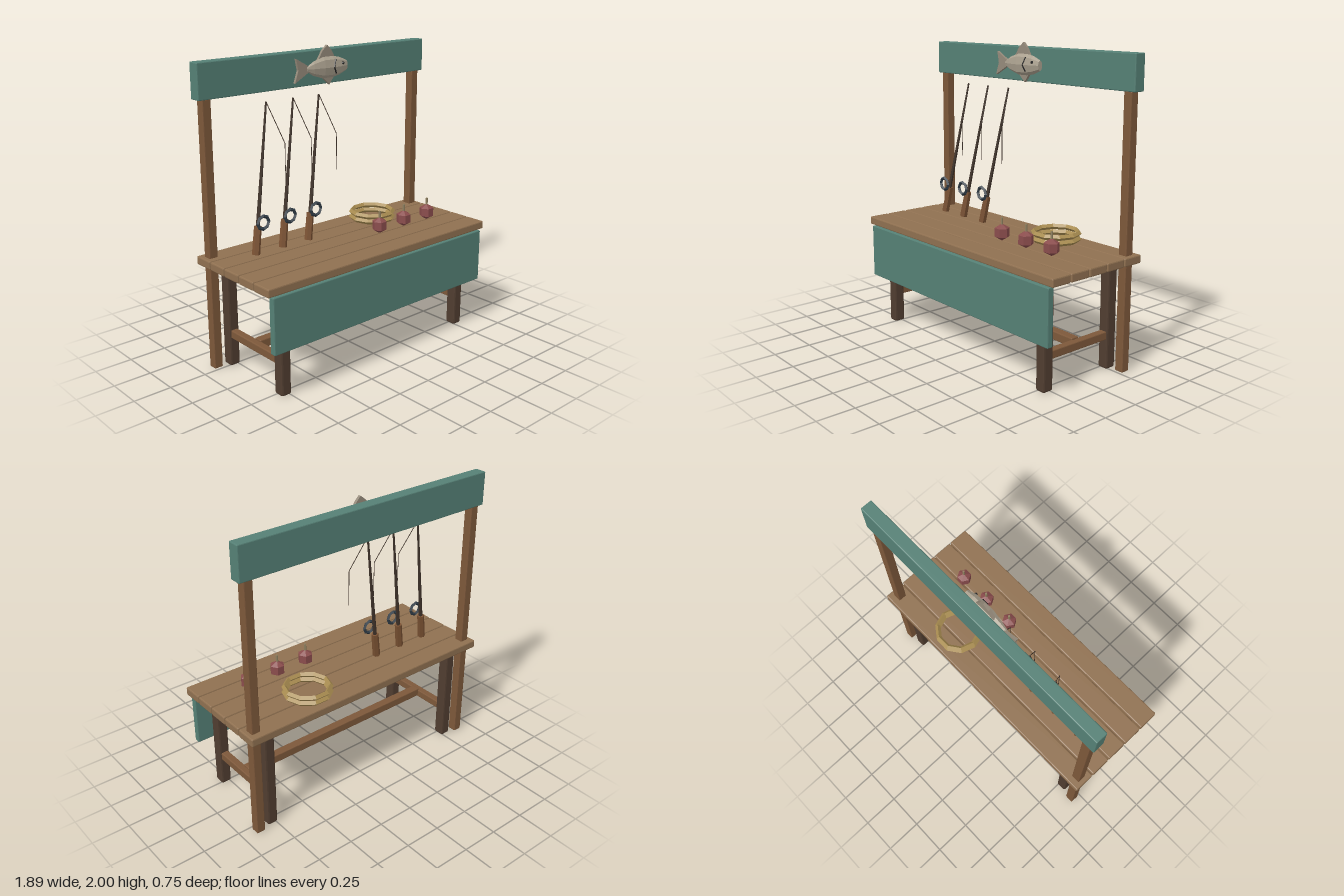
import * as THREE from 'three';
import { RoundedBoxGeometry } from 'three/addons/geometries/RoundedBoxGeometry.js';

const mat = (color, side = THREE.FrontSide) => new THREE.MeshStandardMaterial({ color, side, flatShading: true });
const M = {
  plank: mat(0x8f7050), post: mat(0x7d583a), leg: mat(0x503d30), teal: mat(0x558075),
  rod: mat(0x40332a), grip: mat(0x7b5233), reel: mat(0x303c46), rope: mat(0xa88c50),
  bobber: mat(0x8a4c4c), peg: mat(0x8f8060), fish: mat(0xaaa08e),
  fin: mat(0x958a7a, THREE.DoubleSide), dark: mat(0x222222),
};

export function createModel() {
  const root = new THREE.Group();

  const add = (name, geo, material, x = 0, y = 0, z = 0, parent = root) => {
    const m = new THREE.Mesh(geo, material);
    m.name = name;
    m.position.set(x, y, z);
    parent.add(m);
    return m;
  };
  // chamfered box given by its centre and size
  const box = (name, material, x, y, z, w, h, d, bevel = 0.006) =>
    add(name, new RoundedBoxGeometry(w, h, d, 1, bevel), material, x, y, z);
  // tapered round bar between two points
  const bar = (name, material, a, b, ra, rb, sides, parent) => {
    const dir = b.clone().sub(a);
    const m = add(name, new THREE.CylinderGeometry(rb, ra, dir.length(), sides), material, 0, 0, 0, parent);
    m.position.copy(a).add(b).multiplyScalar(0.5);
    m.quaternion.setFromUnitVectors(new THREE.Vector3(0, 1, 0), dir.normalize());
    return m;
  };
  const V = (x, y, z) => new THREE.Vector3(x, y, z);

  // table top
  for (let i = -2; i <= 2; i++) box('plank', M.plank, 0, 0.728, i * 0.15, 1.88, 0.055, 0.143, 0.008);

  // legs, posts and stretchers
  for (const s of [-1, 1]) {
    for (const t of [-1, 1]) box('leg', M.leg, s * 0.775, 0.352, t * 0.27, 0.072, 0.704, 0.076, 0.012);
    box('signPost', M.post, s * 0.88, 0.875, -0.298, 0.06, 1.75, 0.06);
    box('sideStretcher', M.post, s * 0.775, 0.222, 0, 0.05, 0.054, 0.48);
  }
  box('longStretcher', M.post, 0, 0.231, 0, 1.52, 0.058, 0.06);

  // sign board and front panel
  box('signBoard', M.teal, 0, 1.858, -0.298, 1.886, 0.224, 0.08);
  box('frontPanel', M.teal, 0, 0.512, 0.353, 1.814, 0.364, 0.043);

  // fishing rods
  for (let i = 0; i < 3; i++) {
    const rod = new THREE.Group();
    rod.name = 'fishingRod';
    rod.position.x = -0.505 + i * 0.21;
    root.add(rod);
    const base = V(-0.172, 0.772, -0.105), tip = V(0, 1.7, -0.19);
    const top = base.clone().lerp(tip, 0.19);
    bar('grip', M.grip, base, top, 0.026, 0.024, 6, rod);
    bar('shaft', M.rod, top, tip, 0.013, 0.006, 6, rod);
    add('reel', new THREE.TorusGeometry(0.042, 0.012, 4, 8), M.reel, -0.134, 0.982, -0.07, rod);
    const bend = V(0.058, 1.45, -0.085);
    bar('line', M.rod, tip, bend, 0.0025, 0.0025, 4, rod);
    bar('line', M.rod, bend, V(0.058, 1.21, -0.085), 0.0025, 0.0025, 4, rod);
  }

  // bobbers
  for (const x of [0.19, 0.417, 0.645]) {
    add('bobber', new THREE.SphereGeometry(0.056, 6, 3), M.bobber, x, 0.825, 0.1);
    add('bobberPeg', new THREE.CylinderGeometry(0.008, 0.008, 0.06, 6), M.peg, x, 0.892, 0.1);
  }

  // coiled rope
  for (const y of [0.779, 0.816]) {
    const ring = add('ropeCoil', new THREE.TorusGeometry(0.146, 0.018, 4, 10), M.rope, 0.39, y, -0.185);
    ring.rotation.x = Math.PI / 2;
  }

  // fish mounted on the sign
  const fish = new THREE.Group();
  fish.name = 'fish';
  fish.position.set(0, 1.858, -0.225);
  root.add(fish);

  // body lofted along x from eight-sided sections: x, half height, half depth
  const sections = [[-0.15, 0.016, 0.01], [-0.1, 0.045, 0.022], [-0.02, 0.07, 0.034],
    [0.06, 0.07, 0.036], [0.12, 0.058, 0.032], [0.18, 0.034, 0.018]];
  const N = 8, pos = [], idx = [];
  for (const [x, h, d] of sections) {
    for (let j = 0; j < N; j++) {
      const a = (j / N) * Math.PI * 2;
      pos.push(x, Math.cos(a) * h, Math.sin(a) * d);
    }
  }
  const last = (sections.length - 1) * N;
  for (let j = 0; j < N; j++) {
    const k = (j + 1) % N;
    for (let r = 0; r < last; r += N) idx.push(r + j, r + k, r + N + j, r + k, r + N + k, r + N + j);
    if (j > 0 && j < N - 1) idx.push(0, k, j, last, last + j, last + k);
  }
  // reverse the winding so faces look outwards
  for (let i = 0; i < idx.length; i += 3) [idx[i + 1], idx[i + 2]] = [idx[i + 2], idx[i + 1]];
  const body = new THREE.BufferGeometry();
  body.setAttribute('position', new THREE.Float32BufferAttribute(pos, 3));
  body.setIndex(idx);
  const a = V().fromArray(pos, idx[0] * 3), b = V().fromArray(pos, idx[1] * 3), c = V().fromArray(pos, idx[2] * 3);
  const n = b.clone().sub(a).cross(c.clone().sub(a));
  if (n.y * (a.y + b.y + c.y) + n.z * (a.z + b.z + c.z) < 0) body.setIndex(idx.reverse());
  body.computeVertexNormals();
  add('fishBody', body, M.fish, 0, 0, 0, fish);

  // thin fins
  const fin = (name, pts) => {
    const shape = new THREE.Shape(pts.map(([x, y]) => new THREE.Vector2(x, y)));
    add(name, new THREE.ExtrudeGeometry(shape, { depth: 0.018, bevelEnabled: false }), M.fin, 0, 0, -0.016, fish);
  };
  fin('tailFin', [[-0.135, 0.018], [-0.238, 0.075], [-0.222, 0], [-0.25, -0.08], [-0.135, -0.018]]);
  fin('dorsalFin', [[-0.06, 0.05], [-0.02, 0.11], [0.02, 0.142], [0.05, 0.112], [0.085, 0.055]]);
  fin('bellyFin', [[-0.03, -0.055], [0.035, -0.114], [0.08, -0.055]]);

  // gill mark and eye
  const gill = [V(0.07, 0.05, 0.025), V(0.05, 0, 0.036), V(0.072, -0.042, 0.028)];
  for (let i = 0; i < 2; i++) bar('gill', M.dark, gill[i], gill[i + 1], 0.005, 0.005, 5, fish);
  add('eye', new THREE.SphereGeometry(0.01, 6, 4), M.dark, 0.132, 0.02, 0.027, fish);

  return root;
}
